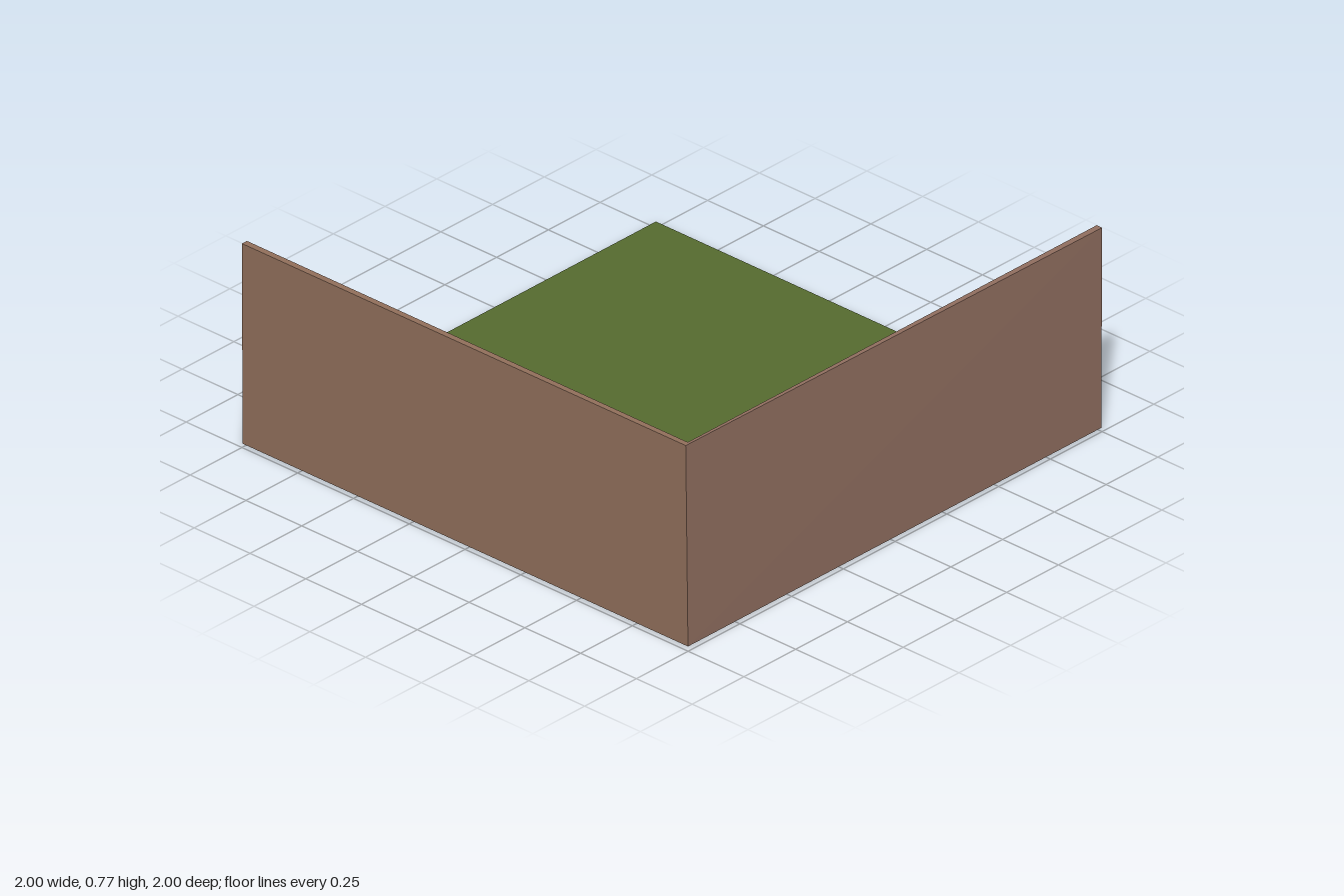
import * as THREE from 'three';

// Inner surfaces lie on flat planes; the outer skin tapers slightly at shared edges.
const A = 0.976, E = 0.024, H = 0.77;
const corners = {
  joint:      { inner: [-A, E, A],  outer: [-0.99, 0.01, 0.99] },
  floorRight: { inner: [1, E, A],   outer: [1, 0.0135, 0.997] },
  floorFar:   { inner: [1, E, -1],  outer: [1, 0, -1] },
  floorBack:  { inner: [-A, E, -1], outer: [-0.997, 0.0135, -1] },
  topJoint:   { inner: [-A, H, A],  outer: [-0.997, H, 0.9865] },
  topFront:   { inner: [1, H, A],   outer: [1, H, 1] },
  topBack:    { inner: [-A, H, -1], outer: [-1, H, -1] },
};

// Thin slab from four corners, anticlockwise on the inner side, starting at the
// joint; the two edges meeting at the third corner are free and get a rim.
function slab(name, keys, material) {
  const [i0, i1, i2, i3] = keys.map((k) => corners[k].inner);
  const [o0, o1, o2, o3] = keys.map((k) => corners[k].outer);
  const quads = [
    [i0, i1, i2, i3], // inner face
    [o0, o3, o2, o1], // outer face
    [o1, o2, i2, i1], // rims
    [o2, o3, i3, i2],
  ];
  const positions = quads.flatMap(([a, b, c, d]) => [a, b, c, a, c, d]).flat();
  const geometry = new THREE.BufferGeometry();
  geometry.setAttribute('position', new THREE.Float32BufferAttribute(positions, 3));
  geometry.computeVertexNormals();
  const mesh = new THREE.Mesh(geometry, material);
  mesh.name = name;
  return mesh;
}

function paint(name, color) {
  const material = new THREE.MeshStandardMaterial({ color });
  material.name = name;
  return material;
}

export function createModel() {
  const group = new THREE.Group();
  group.name = 'openRoom';
  group.add(
    slab('floor', ['joint', 'floorRight', 'floorFar', 'floorBack'], paint('olive green', 0x556b2f)),
    slab('frontWall', ['joint', 'topJoint', 'topFront', 'floorRight'], paint('rosy brown', 0x906e5f)),
    slab('sideWall', ['joint', 'floorBack', 'topBack', 'topJoint'], paint('warm brown', 0x916f5b)),
  );
  return group;
}
